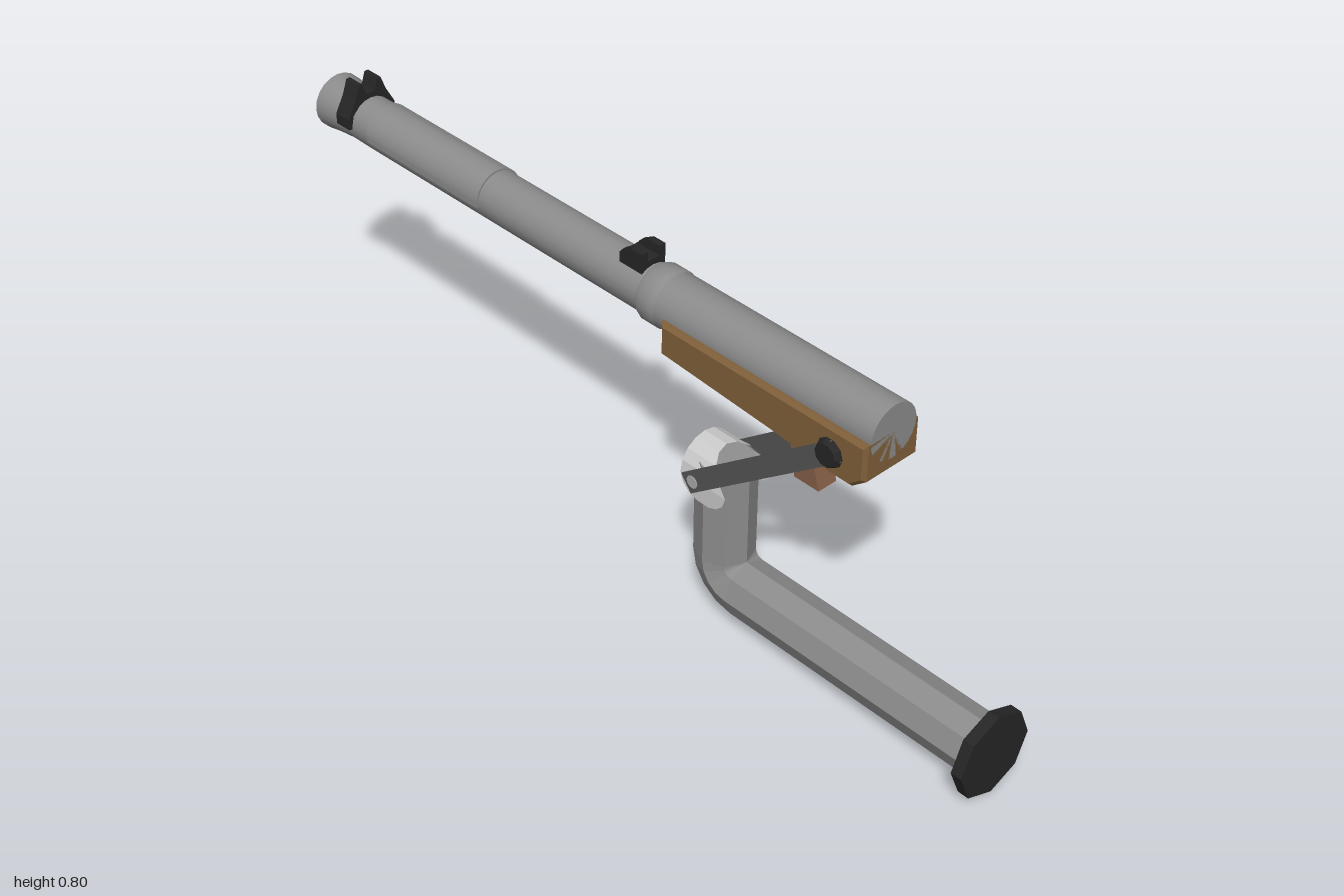
import * as THREE from 'three';
import { toCreasedNormals } from 'three/addons/utils/BufferGeometryUtils.js';

const mat = (color, flatShading = true, side = THREE.FrontSide) =>
  new THREE.MeshStandardMaterial({ color, flatShading, side });
const STEEL = mat(0x8c8c8c), STEEL_SMOOTH = mat(0x8c8c8c, false);
const SHEET = mat(0xcccccc, true, THREE.DoubleSide), ARM = mat(0x555555);
const BLACK = mat(0x262626), WOOD = mat(0x80603a), GRIP = mat(0x855f46);
const AXIS_Y = 0.708;

export function createModel() {
  const group = new THREE.Group();
  const add = (name, geo, material, x = 0, y = 0, z = 0) => {
    const mesh = new THREE.Mesh(geo, material);
    mesh.name = name;
    mesh.position.set(x, y, z);
    group.add(mesh);
    return mesh;
  };

  // Turned part along z; profile points are [radius, z], running towards the muzzle
  const turned = (name, profile, material, sides = 20) => {
    const pts = profile.map(([r, z]) => new THREE.Vector2(r, -z));
    const geo = new THREE.LatheGeometry(pts, sides).rotateX(-Math.PI / 2);
    return add(name, toCreasedNormals(geo, 0.5), material, 0, AXIS_Y, 0);
  };

  // Extrude an outline given as [z, y] across x, centred
  const sideExtrude = (outline, width, bevel = 0) => {
    const shape = new THREE.Shape(outline.map(([z, y]) => new THREE.Vector2(-z, y)));
    return new THREE.ExtrudeGeometry(shape, {
      depth: width - 2 * bevel, bevelEnabled: bevel > 0, bevelSegments: 1,
      bevelSize: bevel, bevelOffset: -bevel, bevelThickness: bevel,
    }).translate(0, 0, -width / 2 + bevel).rotateY(Math.PI / 2);
  };

  // Mounting disc
  add('baseDisc', new THREE.CylinderGeometry(0.098, 0.098, 0.026, 8).rotateX(Math.PI / 2),
    BLACK, 0, 0.1, 0.987);

  // Bent octagonal support
  add('bentSupport', bentTube(), STEEL);

  // Sheet bracket arching over the top of the support
  add('archBracket', archBracket(), SHEET);

  // Linking arms with their pivots
  const low = { z: 0.245, y: 0.373 }, high = { z: 0.603, y: 0.65 };
  const dz = high.z - low.z, dy = high.y - low.y;
  const length = Math.hypot(dz, dy);
  for (const s of [1, -1]) {
    const side = s > 0 ? 'left' : 'right';
    const arm = add(side + 'LinkArm', new THREE.BoxGeometry(0.005, 0.046, length + 0.045), ARM,
      s * 0.078, (low.y + high.y) / 2, (low.z + high.z) / 2);
    arm.rotation.x = -Math.atan2(dy, dz);
    add(side + 'UpperPivot', new THREE.CylinderGeometry(0.026, 0.033, 0.014, 10).rotateZ(-s * Math.PI / 2),
      BLACK, s * 0.083, high.y, high.z);
    add(side + 'LowerPivot', new THREE.CylinderGeometry(0.015, 0.015, 0.02, 10).rotateZ(Math.PI / 2),
      mat(0xaaaaaa), s * 0.072, low.y, low.z);
  }

  // Wooden cradle
  add('woodenCradle', sideExtrude([[0.69, 0.708], [0.69, 0.625], [0.655, 0.596], [0.6, 0.596],
    [0.45, 0.61], [0.14, 0.63], [0.14, 0.708]], 0.15, 0.008), WOOD);
  add('undersidePort', new THREE.BoxGeometry(0.05, 0.012, 0.09), BLACK, 0, 0.62, 0.29);
  add('grip', sideExtrude([[0.525, 0.62], [0.51, 0.58], [0.535, 0.488], [0.47, 0.488], [0.445, 0.62]], 0.05),
    GRIP);

  // Receiver, collar and barrel with hollow flared muzzle
  turned('receiver', [[0, 0.69], [0.062, 0.69], [0.062, 0.1], [0, 0.1]], STEEL_SMOOTH, 24);
  turned('collar', [[0, 0.112], [0.061, 0.112], [0.065, 0.102], [0.065, 0.065], [0.061, 0.055], [0, 0.055]],
    STEEL_SMOOTH);
  turned('barrel', [[0.056, 0.08], [0.056, -0.8], [0.055, -0.88], [0.059, -0.93], [0.064, -0.965],
    [0.064, -0.975], [0.042, -0.975], [0.038, -0.92], [0, -0.92]], STEEL_SMOOTH);
  turned('muzzleRod', [[0, -0.9], [0.018, -0.9], [0.018, -0.985], [0.013, -1], [0, -1]], BLACK, 8);

  // Upper sleeve on the forward barrel
  const sleeve = new THREE.Shape();
  sleeve.absarc(0, 0, 0.06, -0.15, Math.PI + 0.15, false);
  sleeve.absarc(0, 0, 0.053, Math.PI + 0.15, -0.15, true);
  add('barrelSleeve', toCreasedNormals(
    new THREE.ExtrudeGeometry(sleeve, { depth: 0.37, bevelEnabled: false, curveSegments: 10 }), 0.5),
  STEEL_SMOOTH, 0, AXIS_Y, -0.8);

  // Front sight: saddle with two prongs
  const half = [[0.011, 0.776], [0.02, 0.803], [0.03, 0.803], [0.042, 0.77], [0.064, 0.73],
    [0.064, 0.705], [0.05, 0.705], [0.05, 0.735], [0.03, 0.752]];
  const outline = [...half, ...half.map(([x, y]) => [-x, y]).reverse()];
  const sight = new THREE.Shape(outline.map(([x, y]) => new THREE.Vector2(x, y)));
  add('frontSight', new THREE.ExtrudeGeometry(sight, { depth: 0.044, bevelEnabled: false }),
    BLACK, 0, 0, -0.9);

  // Rear sight: block with two ears
  add('rearSightBase', new THREE.BoxGeometry(0.064, 0.026, 0.065), BLACK, 0, 0.764, 0.012);
  for (const s of [1, -1]) {
    add(s > 0 ? 'rearSightLeftEar' : 'rearSightRightEar',
      sideExtrude([[0.045, 0.77], [0.045, 0.8], [0.012, 0.8], [-0.014, 0.785], [-0.02, 0.77]], 0.016),
      BLACK, s * 0.024, 0, 0);
  }
  return group;
}

// Octagonal tube: straight along z, quarter bend, then upright with a slanted top
function bentTube() {
  const N = 8, R = 0.066, r = 0.065, cy = 0.1 + R, cz = 0.262 + R;
  const rings = [{ y: 0.1, z: 0.98, t: 0 }];
  for (let k = 0; k <= 4; k++) {
    const t = k * Math.PI / 8;
    rings.push({ y: cy - R * Math.cos(t), z: cz - R * Math.sin(t), t });
  }
  rings.push({ y: 0.402, z: 0.262, t: Math.PI / 2, slant: 0.2 });
  const pos = [], idx = [];
  for (const { y, z, t, slant = 0 } of rings) {
    for (let i = 0; i < N; i++) {
      const a = i * 2 * Math.PI / N, n = r * Math.sin(a);
      pos.push(r * Math.cos(a), y + n * Math.cos(t) - slant * n, z + n * Math.sin(t));
    }
  }
  const top = (rings.length - 1) * N, centre = rings.length * N;
  pos.push(0, 0.402, 0.262);
  for (let i = 0; i < N; i++) {
    const j = (i + 1) % N;
    for (let k = 0; k < top; k += N) {
      idx.push(k + i, k + N + i, k + j, k + j, k + N + i, k + N + j);
    }
    idx.push(centre, top + j, top + i);
  }
  return meshFrom(pos, idx);
}

// Arched strip whose front edge sweeps forward to rounded side lobes
function archBracket() {
  const edges = [], pos = [], idx = [], r = 0.068, y0 = 0.368;
  const lobe = [-0.048, -0.04, -0.024];
  for (const d of lobe) edges.push([r, y0 + d, d]);
  for (let i = 0; i <= 8; i++) {
    const a = i * Math.PI / 8;
    edges.push([r * Math.cos(a), y0 + r * Math.sin(a), r * Math.sin(a)]);
  }
  for (const d of [...lobe].reverse()) edges.push([-r, y0 + d, d]);
  edges.forEach(([x, y, d], k) => {
    const w = 0.064 * Math.sqrt(Math.max(0, 1 - (d / 0.05) ** 2));
    const front = d < 0 ? 0.262 + w : 0.326 - 0.066 * d / r;
    const back = d < 0 ? 0.262 - w : 0.198;
    pos.push(x, y, front, x, y, back);
    if (k) {
      const p = 2 * k - 2;
      idx.push(p, p + 1, p + 2, p + 2, p + 1, p + 3);
    }
  });
  return meshFrom(pos, idx);
}

function meshFrom(pos, idx) {
  const geo = new THREE.BufferGeometry();
  geo.setAttribute('position', new THREE.Float32BufferAttribute(pos, 3));
  geo.setIndex(idx);
  geo.computeVertexNormals();
  return geo;
}
